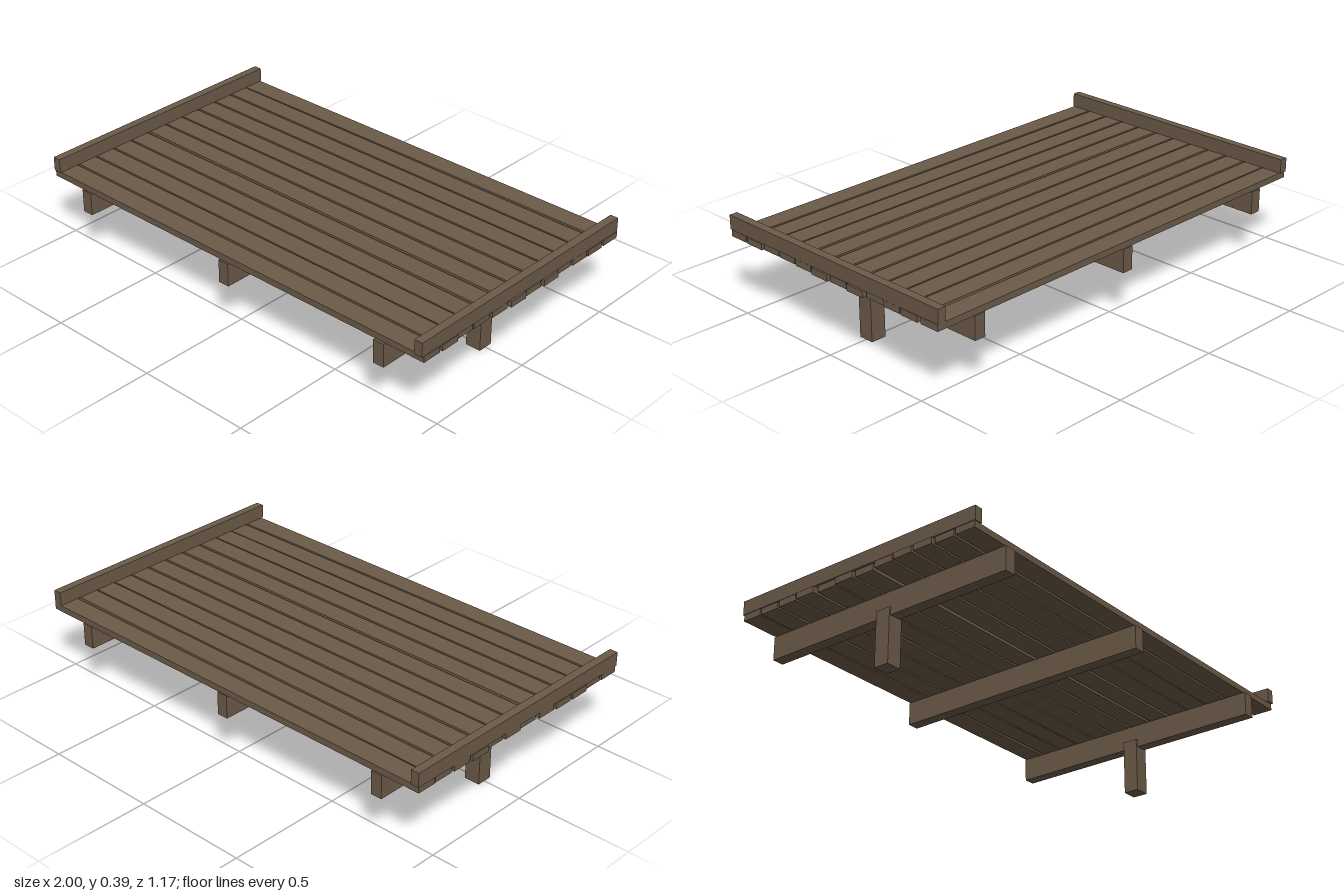
import * as THREE from 'three';

export function createModel() {
  const group = new THREE.Group();
  const wood = new THREE.MeshStandardMaterial({ color: 0x6b5a48 });
  wood.name = 'weathered wood';

  const box = (name, w, h, d, x, y, z, turn = 0) => {
    const mesh = new THREE.Mesh(new THREE.BoxGeometry(w, h, d), wood);
    mesh.name = name;
    mesh.position.set(x, y, z);
    mesh.rotation.y = turn;
    group.add(mesh);
  };

  // Deck planks, each laid slightly askew: [z, turn, shift along x]
  const planks = [
    [-0.539, 0.002, 0], [-0.441, -0.003, 0.002], [-0.344, -0.001, -0.001],
    [-0.248, 0.001, -0.006], [-0.15, 0.003, 0.007], [-0.053, 0.001, 0],
    [0.045, 0, 0.007], [0.147, 0.001, -0.001], [0.246, -0.001, -0.006],
    [0.342, 0.001, -0.007], [0.437, 0.003, 0.002], [0.535, 0.003, 0],
  ];
  for (const [z, turn, shift] of planks) {
    box('deckPlank', 1.985, 0.027, 0.088, shift, 0.3165, z, turn);
  }

  // Raised rails across both ends
  box('leftRail', 0.036, 0.06, 1.172, 0.973, 0.36, 0);
  box('rightRail', 0.036, 0.06, 1.172, -0.977, 0.36, 0);

  // Cross beams under the deck
  for (const x of [-0.798, -0.003, 0.789]) {
    box('crossBeam', 0.05, 0.1, 1.172, x, 0.252, 0);
  }

  // Support posts under the outer beams
  for (const x of [-0.796, 0.789]) {
    box('supportPost', 0.068, 0.235, 0.067, x, 0.1175, 0);
  }
  return group;
}
